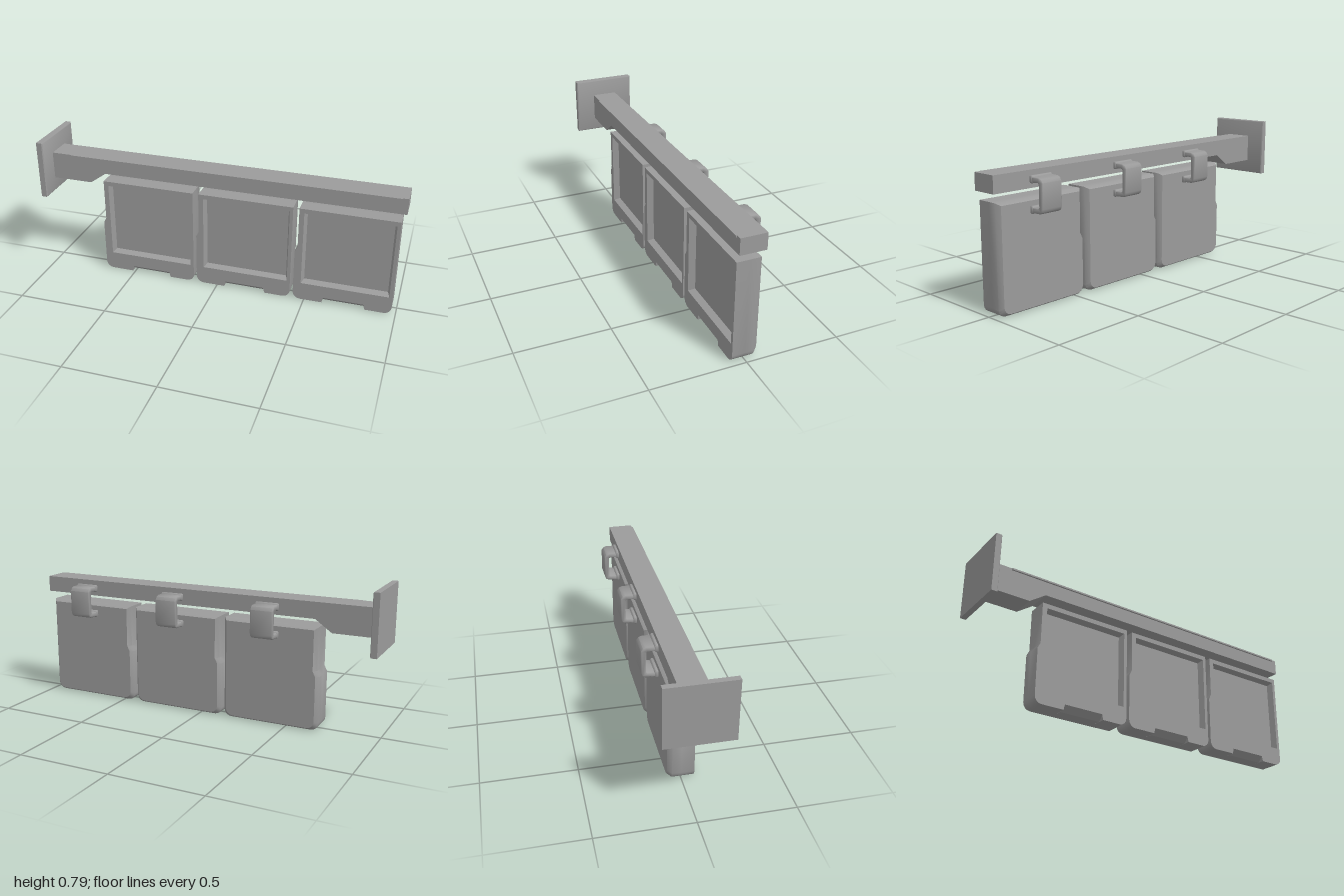
import * as THREE from 'three';
import { toCreasedNormals } from 'three/addons/utils/BufferGeometryUtils.js';

const material = new THREE.MeshStandardMaterial({ color: 0x9b9b9b });

function part(name, geometry) {
  const mesh = new THREE.Mesh(geometry, material);
  mesh.name = name;
  return mesh;
}

const shapeOf = (pts) => new THREE.Shape(pts.map(([x, y]) => new THREE.Vector2(x, y)));

// Skin counter-clockwise rings [{ z, pts }]; falling z turns the walls inward
function loft(rings, capStart, capEnd) {
  const n = rings[0].pts.length;
  const pos = [], idx = [];
  rings.forEach(({ z, pts }) => pts.forEach(([x, y]) => pos.push(x, y, z)));
  for (let k = 0; k < rings.length - 1; k++) {
    for (let i = 0; i < n; i++) {
      const a = k * n + i, b = k * n + (i + 1) % n;
      idx.push(a, b, b + n, a, b + n, a + n);
    }
  }
  const cap = (k, flip) => {
    const pts = rings[k].pts.map(([x, y]) => new THREE.Vector2(x, y));
    for (const [a, b, c] of THREE.ShapeUtils.triangulateShape(pts, [])) {
      idx.push(k * n + a, k * n + (flip ? c : b), k * n + (flip ? b : c));
    }
  };
  if (capStart) cap(0, true);
  if (capEnd) cap(rings.length - 1, false);
  const g = new THREE.BufferGeometry();
  g.setAttribute('position', new THREE.Float32BufferAttribute(pos, 3));
  g.setIndex(idx);
  return toCreasedNormals(g, 0.75);
}

const rect = (x0, x1, y0, y1) => [[x0, y0], [x1, y0], [x1, y1], [x0, y1]];

// Panel outline centred on x = 0, with optional notch in the bottom edge
function panelOutline(inX, inY, notch) {
  const r = 0.04, L = -0.27 + inX, R = 0.27 - inX, B = inY, T = 0.555 - inY;
  const pts = [];
  const corner = (cx, cy, start) => {
    for (let i = 0; i <= 4; i++) {
      const a = start + i * Math.PI / 8;
      pts.push([cx + r * Math.cos(a), cy + r * Math.sin(a)]);
    }
  };
  corner(L + r, B + r, Math.PI);
  if (notch) pts.push([-0.107, 0], [-0.1, 0.03], [0.12, 0.03], [0.127, 0]);
  corner(R - r, B + r, -Math.PI / 2);
  pts.push([R, T], [L + 0.015, T], [L + 0.015, 0.325], [L, 0.295]);
  return pts;
}

function createPanel() {
  const panel = new THREE.Group();
  panel.name = 'hangingPanel';
  // Rear body with softened back edges
  panel.add(part('panelBody', loft([
    { z: -0.07, pts: panelOutline(0.018, 0.013) },
    { z: -0.048, pts: panelOutline(0, 0) },
    { z: 0, pts: panelOutline(0, 0) },
  ], true, true)));
  // Front frame around the recess
  const frame = shapeOf(panelOutline(0, 0, true));
  frame.holes.push(new THREE.Path(
    rect(-0.228, 0.252, 0.102, 0.53).reverse().map(([x, y]) => new THREE.Vector2(x, y))));
  const frameGeo = new THREE.ExtrudeGeometry(frame, { depth: 0.068, bevelEnabled: false });
  panel.add(part('panelFrame', toCreasedNormals(frameGeo, 0.5)));
  // Recess with sloping walls
  panel.add(part('panelRecess', loft([
    { z: 0.068, pts: rect(-0.228, 0.252, 0.102, 0.53) },
    { z: 0.033, pts: rect(-0.216, 0.24, 0.114, 0.518) },
  ], false, true)));
  // Block closing the back of the bottom notch with a sloping face
  const ramp = new THREE.ExtrudeGeometry(
    shapeOf([[0, 0], [0, 0.03], [-0.068, 0.03], [-0.033, 0]]),
    { depth: 0.23, bevelEnabled: false });
  ramp.rotateY(Math.PI / 2).translate(-0.105, 0, 0);
  panel.add(part('notchRamp', ramp));
  return panel;
}

// C-shaped strap linking beam and panel at the back; profile is in (z, y)
function createBracket() {
  const group = new THREE.Group();
  group.name = 'hangerBracket';
  const across = (pts, width) => {
    const bevel = 0.004;
    const g = new THREE.ExtrudeGeometry(shapeOf(pts.map(([z, y]) => [-z, y])), {
      depth: width - 2 * bevel, bevelThickness: bevel, bevelSize: bevel,
      bevelOffset: -bevel, bevelSegments: 1,
    });
    g.rotateY(Math.PI / 2).translate(-width / 2 + bevel, 0, 0);
    return toCreasedNormals(g, 0.9);
  };
  group.add(part('bracketStrap', across([
    [-0.066, 0.657], [-0.13, 0.657], [-0.147, 0.651], [-0.158, 0.635],
    [-0.158, 0.51], [-0.151, 0.493], [-0.135, 0.484], [-0.066, 0.484],
    [-0.066, 0.51], [-0.124, 0.51], [-0.131, 0.515],
    [-0.131, 0.627], [-0.124, 0.632], [-0.066, 0.632],
  ], 0.124)));
  // Thickened feet
  for (const y of [0.645, 0.498]) {
    group.add(part('bracketFoot', across([
      [-0.068, y - 0.016], [-0.068, y + 0.016], [-0.075, y + 0.019], [-0.083, y + 0.019],
      [-0.09, y + 0.012], [-0.09, y - 0.012], [-0.083, y - 0.019], [-0.075, y - 0.019],
    ], 0.128)));
  }
  return group;
}

export function createModel() {
  const model = new THREE.Group();
  model.name = 'wallMountedPanelRail';

  // Wall plate with a slightly softened inner edge
  const plate = loft([
    { z: -1, pts: rect(-0.175, 0.175, 0.463, 0.785) },
    { z: -0.969, pts: rect(-0.175, 0.175, 0.463, 0.785) },
    { z: -0.965, pts: rect(-0.169, 0.169, 0.469, 0.779) },
  ], true, true);
  plate.rotateY(Math.PI / 2);
  model.add(part('wallPlate', plate));

  // Beam, deeper near the wall
  const beam = new THREE.ExtrudeGeometry(shapeOf([
    [-0.97, 0.538], [-0.74, 0.538], [-0.65, 0.602], [1, 0.602], [1, 0.69], [-0.97, 0.69],
  ]), { depth: 0.139, bevelEnabled: false });
  beam.translate(0, 0, -0.071);
  model.add(part('beam', beam));

  // Thin lip along the beam's top front edge
  const lip = new THREE.ExtrudeGeometry(
    shapeOf([[-0.066, 0.678], [-0.066, 0.69], [-0.074, 0.69], [-0.074, 0.681]]),
    { depth: 1.82, bevelEnabled: false });
  lip.rotateY(Math.PI / 2).translate(-0.85, 0, 0);
  model.add(part('frontLip', lip));

  // Three panels with their brackets
  for (let i = 0; i < 3; i++) {
    const x = -0.409 + i * 0.558;
    const panel = createPanel();
    panel.position.x = x;
    const bracket = createBracket();
    bracket.position.x = x + 0.018;
    model.add(panel, bracket);
  }
  return model;
}
